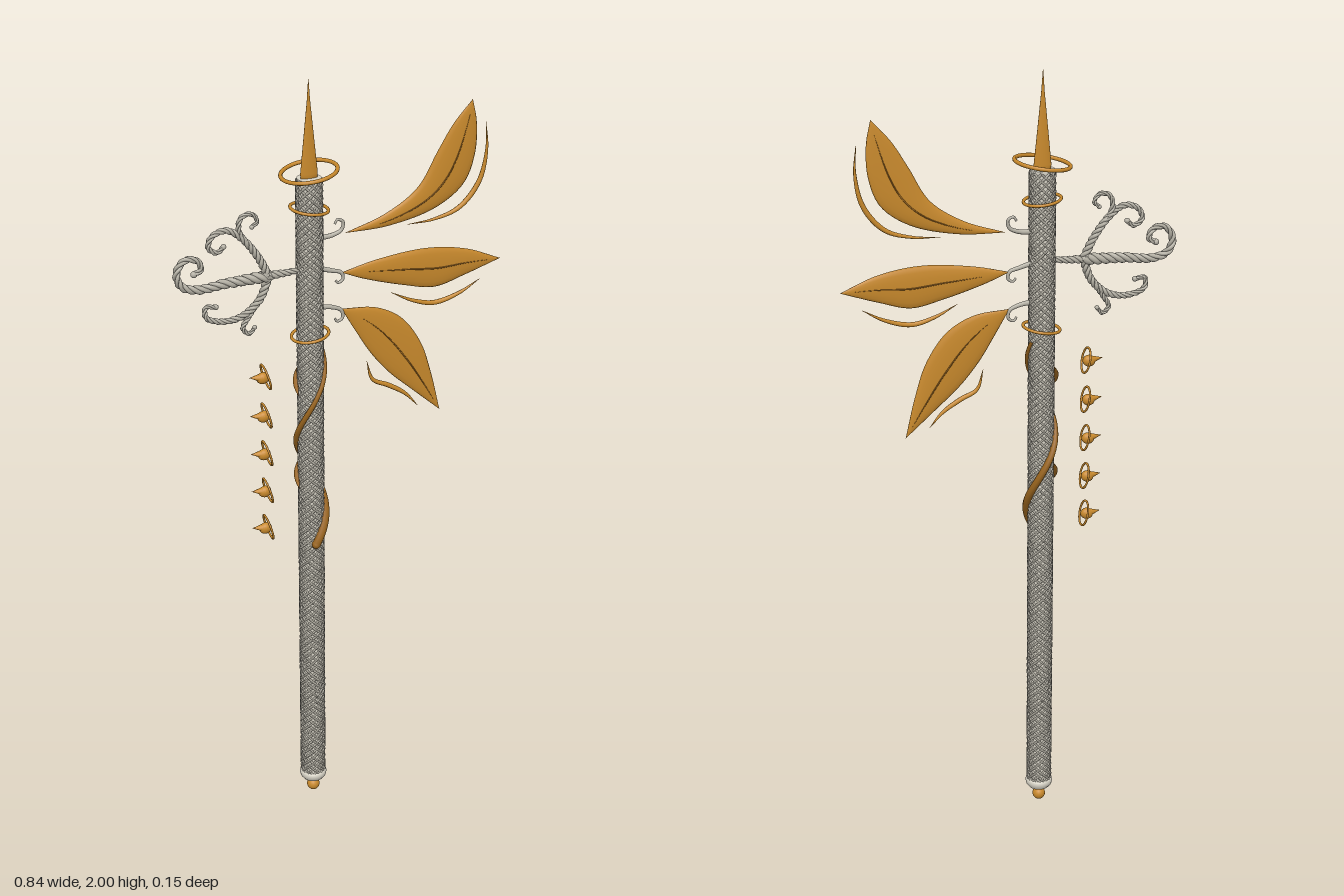
import * as THREE from 'three';

const mat = (name, color) => {
  const m = new THREE.MeshStandardMaterial({ color });
  m.name = name;
  return m;
};
const gold = mat('gold', 0xc8892c);
const bronze = mat('dark gold', 0x9a651e);
const silver = mat('silver', 0xb4b0a4);
const ivory = mat('ivory', 0xd9d5c8);

const AXIS = -0.081; // x of the shaft

const add = (parent, name, geometry, material) => {
  const mesh = new THREE.Mesh(geometry, material);
  mesh.name = name;
  parent.add(mesh);
  return mesh;
};
const group = (parent, name) => {
  const g = new THREE.Group();
  g.name = name;
  parent.add(g);
  return g;
};
const spline = (pts) => new THREE.CatmullRomCurve3(pts.map(([x, y, z = 0]) => new THREE.Vector3(x, y, z)));

// Tube whose radius follows a function of t
function taperedTube(curve, radius, segs = 40, sides = 8) {
  const geo = new THREE.TubeGeometry(curve, segs, 1, sides);
  const p = geo.attributes.position, n = geo.attributes.normal;
  for (let i = 0; i < p.count; i++) {
    const k = radius(Math.floor(i / (sides + 1)) / segs) - 1;
    p.setXYZ(i, p.getX(i) + n.getX(i) * k, p.getY(i) + n.getY(i) * k, p.getZ(i) + n.getZ(i) * k);
  }
  return geo;
}
const lens = (r) => (t) => 0.0004 + r * Math.sin(Math.PI * t);

// Lens-section blade lofted between two edge curves
function bladeGeometry(edgeA, edgeB, depth, segs = 36, sides = 16) {
  const a = spline(edgeA), b = spline(edgeB), pos = [], idx = [];
  for (let i = 0; i <= segs; i++) {
    const t = i / segs, p = a.getPointAt(t), q = b.getPointAt(t);
    const h = depth * Math.sqrt(Math.sin(Math.PI * Math.min(t, 0.9999)));
    for (let j = 0; j < sides; j++) {
      const u = (j / sides) * Math.PI * 2, s = 0.5 - 0.5 * Math.cos(u);
      pos.push(p.x + (q.x - p.x) * s, p.y + (q.y - p.y) * s, h * Math.sin(u));
      if (i < segs) {
        const c = i * sides + j, d = i * sides + ((j + 1) % sides);
        idx.push(c, c + sides, d, d, c + sides, d + sides);
      }
    }
  }
  const geo = new THREE.BufferGeometry();
  geo.setAttribute('position', new THREE.Float32BufferAttribute(pos, 3));
  // edge A is the upper edge: reverse winding so faces look outward
  for (let i = 0; i < idx.length; i += 3) [idx[i + 1], idx[i + 2]] = [idx[i + 2], idx[i + 1]];
  geo.setIndex(idx);
  geo.computeVertexNormals();
  return geo;
}

// Three strands twisted about a flat path
function rope(parent, name, pts, r0, r1, twists) {
  const g = group(parent, name), path = spline(pts);
  const rad = (t) => r0 + (r1 - r0) * t;
  for (let k = 0; k < 3; k++) {
    const strand = [];
    for (let i = 0; i <= 90; i++) {
      const t = i / 90, p = path.getPointAt(t), d = path.getTangentAt(t);
      const phi = t * twists * Math.PI * 2 + (k * Math.PI * 2) / 3, o = rad(t) * 0.52;
      strand.push([p.x - d.y * o * Math.cos(phi), p.y + d.x * o * Math.cos(phi), o * Math.sin(phi)]);
    }
    add(g, 'strand', taperedTube(spline(strand), (t) => rad(t) * 0.52, 100, 7), silver);
  }
  add(g, 'ropeTip', new THREE.SphereGeometry(r1 * 1.15, 12, 8), silver).position.copy(path.getPointAt(1));
}

function hoop(parent, name, y, radius, tube, tilt) {
  const g = group(parent, name);
  g.position.set(AXIS, y, 0);
  g.rotation.z = tilt;
  add(g, 'hoopRing', new THREE.TorusGeometry(radius, tube, 10, 56), gold).rotation.x = Math.PI / 2;
}

export function createModel() {
  const root = new THREE.Group();
  root.name = 'ornateStaff';

  // Shaft: pale core wrapped in crossing wires
  const shaft = group(root, 'shaft');
  shaft.position.x = AXIS;
  add(shaft, 'core', new THREE.CylinderGeometry(0.0295, 0.0295, 1.7, 32), ivory).position.y = 0.91;
  for (const dir of [1, -1]) {
    for (let k = 0; k < 10; k++) {
      const pts = [];
      for (let i = 0; i <= 130; i++) {
        const t = i / 130, a = dir * t * 9 * Math.PI * 2 + (k / 10) * Math.PI * 2;
        pts.push([0.0305 * Math.cos(a), 0.065 + 1.69 * t, 0.0305 * Math.sin(a)]);
      }
      add(shaft, 'latticeWire', new THREE.TubeGeometry(spline(pts), 260, 0.0034, 4), silver);
    }
  }

  // Foot: rounded cap and ball
  const foot = [[0.001, 0.036], [0.016, 0.038], [0.028, 0.043], [0.034, 0.051], [0.036, 0.06], [0.034, 0.068], [0.028, 0.07]];
  add(shaft, 'footCap', new THREE.LatheGeometry(foot.map(([x, y]) => new THREE.Vector2(x, y)), 32), ivory);
  add(shaft, 'footNeck', new THREE.CylinderGeometry(0.009, 0.009, 0.02, 16), gold).position.y = 0.033;
  add(shaft, 'footBall', new THREE.SphereGeometry(0.017, 20, 14), gold).position.y = 0.017;

  // Flattened point at the top
  const point = [[0.001, 1.75], [0.02, 1.75], [0.022, 1.77], [0.017, 1.82], [0.009, 1.9], [0.004, 1.95], [0.0005, 2]];
  add(shaft, 'topSpike', new THREE.LatheGeometry(point.map(([x, y]) => new THREE.Vector2(x, y)), 24), gold).scale.z = 0.32;

  // Tilted hoops
  hoop(root, 'topHoop', 1.775, 0.068, 0.005, 0.14);
  hoop(root, 'upperHoop', 1.683, 0.046, 0.004, -0.12);
  hoop(root, 'lowerHoop', 1.357, 0.046, 0.004, 0.14);

  // Vine winding up the shaft, with tendrils
  const vine = group(root, 'vine');
  const wind = (y0, y1, a0, a1, r) => {
    const pts = [];
    for (let i = 0; i <= 40; i++) {
      const t = i / 40, a = a0 + (a1 - a0) * t;
      pts.push([AXIS + r * Math.cos(a), y0 + (y1 - y0) * t, r * Math.sin(a)]);
    }
    return spline(pts);
  };
  add(vine, 'vineStem', taperedTube(wind(0.785, 1.33, Math.PI / 2, -6.9, 0.036), (t) => 0.0115 - 0.007 * t, 130), bronze);
  add(vine, 'vineRoot', new THREE.SphereGeometry(0.0115, 12, 8), bronze).position.set(AXIS, 0.785, 0.036);
  for (const y of [0.94, 1.2]) {
    add(vine, 'tendril', taperedTube(wind(y, y + 0.06, 2.8, 3.9, 0.037), lens(0.006), 24), bronze);
  }

  // Leaf blades, each with a midrib and a loose sliver
  const leaves = [
    {
      name: 'upperLeaf',
      a: [[0.01, 1.608], [0.115, 1.645], [0.195, 1.7], [0.245, 1.785], [0.285, 1.85], [0.333, 1.905]],
      b: [[0.01, 1.608], [0.125, 1.612], [0.245, 1.643], [0.315, 1.695], [0.342, 1.765], [0.345, 1.845], [0.333, 1.905]],
      sliver: [[0.17, 1.608], [0.24, 1.613], [0.305, 1.635], [0.355, 1.695], [0.373, 1.775], [0.369, 1.845]],
    },
    {
      name: 'middleLeaf',
      a: [[0, 1.507], [0.09, 1.528], [0.22, 1.54], [0.325, 1.524], [0.418, 1.486]],
      b: [[0, 1.507], [0.06, 1.482], [0.165, 1.45], [0.245, 1.434], [0.325, 1.455], [0.418, 1.486]],
      sliver: [[0.13, 1.435], [0.19, 1.405], [0.245, 1.392], [0.31, 1.408], [0.365, 1.438]],
    },
    {
      name: 'lowerLeaf',
      a: [[0, 1.412], [0.09, 1.402], [0.157, 1.365], [0.21, 1.29], [0.24, 1.2], [0.265, 1.094]],
      b: [[0, 1.412], [0.04, 1.342], [0.078, 1.28], [0.125, 1.222], [0.195, 1.157], [0.265, 1.094]],
      sliver: [[0.067, 1.26], [0.083, 1.208], [0.125, 1.185], [0.17, 1.155], [0.205, 1.115]],
    },
  ];
  for (const { name, a, b, sliver } of leaves) {
    const g = group(root, name);
    add(g, 'blade', bladeGeometry(a, b, 0.0085), gold);
    const ca = spline(a), cb = spline(b), mid = [];
    for (let i = 2; i <= 11; i++) {
      const p = ca.getPointAt(i / 12).lerp(cb.getPointAt(i / 12), 0.5);
      mid.push([p.x, p.y]);
    }
    for (const side of [1, -1]) {
      const rib = mid.map(([x, y], i) => [x, y, side * 0.0083 * Math.sqrt(Math.sin((Math.PI * (i + 2)) / 12))]);
      add(g, 'midrib', taperedTube(spline(rib), lens(0.0016), 30, 6), bronze);
    }
    add(g, 'sliver', taperedTube(spline(sliver), lens(0.006), 36), gold);
  }

  // Silver hooks holding the leaves
  const hooks = [
    [[-0.055, 1.605], [-0.025, 1.607], [0, 1.618], [0.004, 1.638], [-0.01, 1.645], [-0.017, 1.635]],
    [[-0.055, 1.525], [-0.025, 1.516], [0, 1.507], [0.004, 1.49], [-0.008, 1.482], [-0.016, 1.49]],
    [[-0.055, 1.425], [-0.025, 1.42], [0, 1.408], [0.003, 1.388], [-0.01, 1.38], [-0.018, 1.39]],
  ];
  for (const h of hooks) add(root, 'leafHook', taperedTube(spline(h), (t) => 0.007 - 0.004 * t, 36), silver);

  // Roped scrollwork on the other side
  const scroll = group(root, 'scrollwork');
  rope(scroll, 'scrollArm', [[-0.1, 1.53], [-0.14, 1.527], [-0.19, 1.525]], 0.007, 0.011, 2);
  rope(scroll, 'mainScroll', [[-0.185, 1.525], [-0.29, 1.521], [-0.365, 1.515], [-0.402, 1.53], [-0.412, 1.565],
    [-0.39, 1.594], [-0.36, 1.588], [-0.352, 1.565], [-0.37, 1.555]], 0.015, 0.007, 6);
  rope(scroll, 'upperScroll', [[-0.185, 1.525], [-0.212, 1.58], [-0.25, 1.63], [-0.288, 1.655], [-0.322, 1.645],
    [-0.333, 1.618], [-0.312, 1.602], [-0.295, 1.615]], 0.011, 0.006, 6);
  rope(scroll, 'upperCurl', [[-0.235, 1.612], [-0.257, 1.65], [-0.25, 1.682], [-0.225, 1.688], [-0.211, 1.668], [-0.224, 1.655]], 0.008, 0.005, 3);
  rope(scroll, 'lowerScroll', [[-0.185, 1.525], [-0.208, 1.468], [-0.255, 1.43], [-0.305, 1.424], [-0.343, 1.44],
    [-0.343, 1.466], [-0.318, 1.464]], 0.011, 0.006, 6);
  rope(scroll, 'lowerCurl', [[-0.215, 1.46], [-0.238, 1.425], [-0.252, 1.398], [-0.236, 1.382], [-0.222, 1.397]], 0.008, 0.005, 3);

  // Column of ringed buds
  for (let i = 0; i < 5; i++) {
    const bud = group(root, 'ringedBud');
    bud.position.set(-0.196, 1.26 - i * 0.105, 0);
    bud.rotation.z = 0.24;
    add(bud, 'budRing', new THREE.TorusGeometry(0.032, 0.0028, 8, 36), gold).rotation.y = Math.PI / 2;
    const body = add(bud, 'budBody', new THREE.SphereGeometry(0.015, 16, 12), gold);
    body.position.x = -0.008;
    body.scale.set(1.1, 1, 0.8);
    const tip = add(bud, 'budTip', new THREE.ConeGeometry(0.012, 0.034, 14), gold);
    tip.rotation.z = Math.PI / 2 - 0.35;
    tip.position.set(-0.025, 0.008, 0);
  }
  return root;
}
